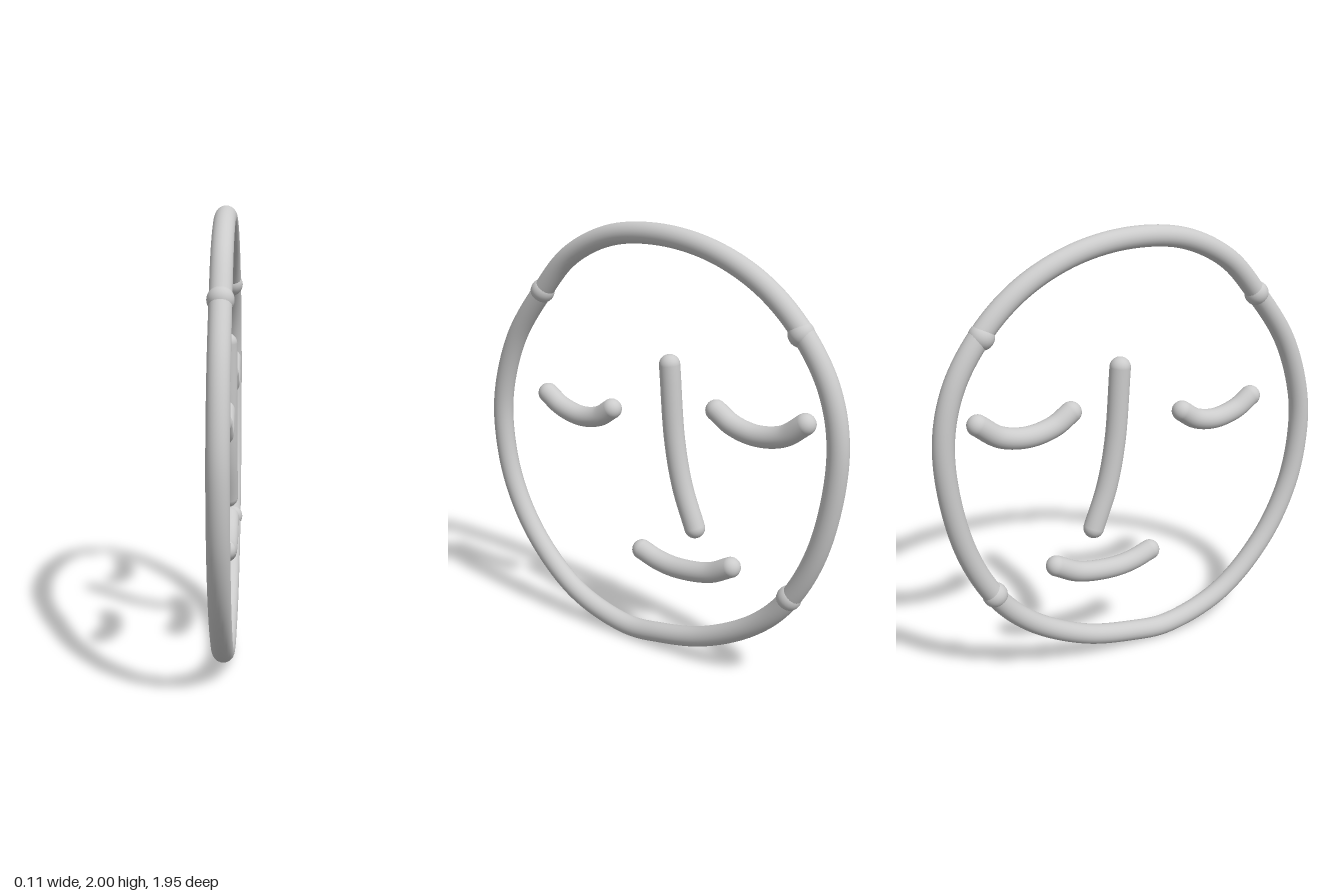
import * as THREE from 'three';

const R = 0.047;
const material = new THREE.MeshStandardMaterial({ color: 0xcccccc });

// Points are [z, y] in the plane of the wire face
const toVec = ([z, y]) => new THREE.Vector3(0, y, z);

function ball(name, point, radius) {
  const mesh = new THREE.Mesh(new THREE.SphereGeometry(radius, 24, 16), material);
  mesh.name = name;
  mesh.position.copy(toVec(point));
  return mesh;
}

function wire(name, points, closed = false) {
  const group = new THREE.Group();
  group.name = name;
  const curve = new THREE.CatmullRomCurve3(points.map(toVec), closed, 'centripetal');
  const tube = new THREE.Mesh(
    new THREE.TubeGeometry(curve, closed ? 200 : 40, R, 24, closed), material);
  tube.name = name + 'Tube';
  group.add(tube);
  // Rounded ends
  if (!closed) {
    group.add(ball(name + 'StartCap', points[0], R), ball(name + 'EndCap', points.at(-1), R));
  }
  return group;
}

export function createModel() {
  const model = new THREE.Group();
  model.name = 'wireFace';

  // Head outline, a slightly irregular closed loop
  model.add(wire('headOutline', [
    [-0.03, 1.953], [0.25, 1.92], [0.485, 1.80], [0.65, 1.62], [0.82, 1.38],
    [0.91, 1.13], [0.93, 0.93], [0.88, 0.64], [0.735, 0.37], [0.485, 0.145],
    [0.18, 0.052], [-0.03, 0.07], [-0.28, 0.13], [-0.55, 0.275], [-0.72, 0.45],
    [-0.86, 0.74], [-0.923, 1.16], [-0.87, 1.42], [-0.735, 1.635],
    [-0.55, 1.80], [-0.31, 1.91],
  ], true));

  // Swollen joints on the outline
  [[0.65, 1.62], [-0.73, 1.63], [-0.72, 0.455]].forEach((p, i) =>
    model.add(ball('outlineJoint' + (i + 1), p, 0.056)));

  // Closed eyes
  model.add(wire('frontEye',
    [[0.633, 1.13], [0.55, 1.08], [0.43, 1.055], [0.325, 1.075], [0.25, 1.125]]));
  model.add(wire('backEye',
    [[-0.325, 1.23], [-0.41, 1.18], [-0.535, 1.157], [-0.665, 1.183], [-0.765, 1.255]]));

  // Nose and mouth
  model.add(wire('nose', [[-0.077, 1.39], [-0.106, 1.05], [-0.15, 0.84], [-0.22, 0.655]]));
  model.add(wire('mouth',
    [[0.077, 0.47], [-0.02, 0.441], [-0.13, 0.432], [-0.30, 0.457], [-0.415, 0.515]]));

  return model;
}
